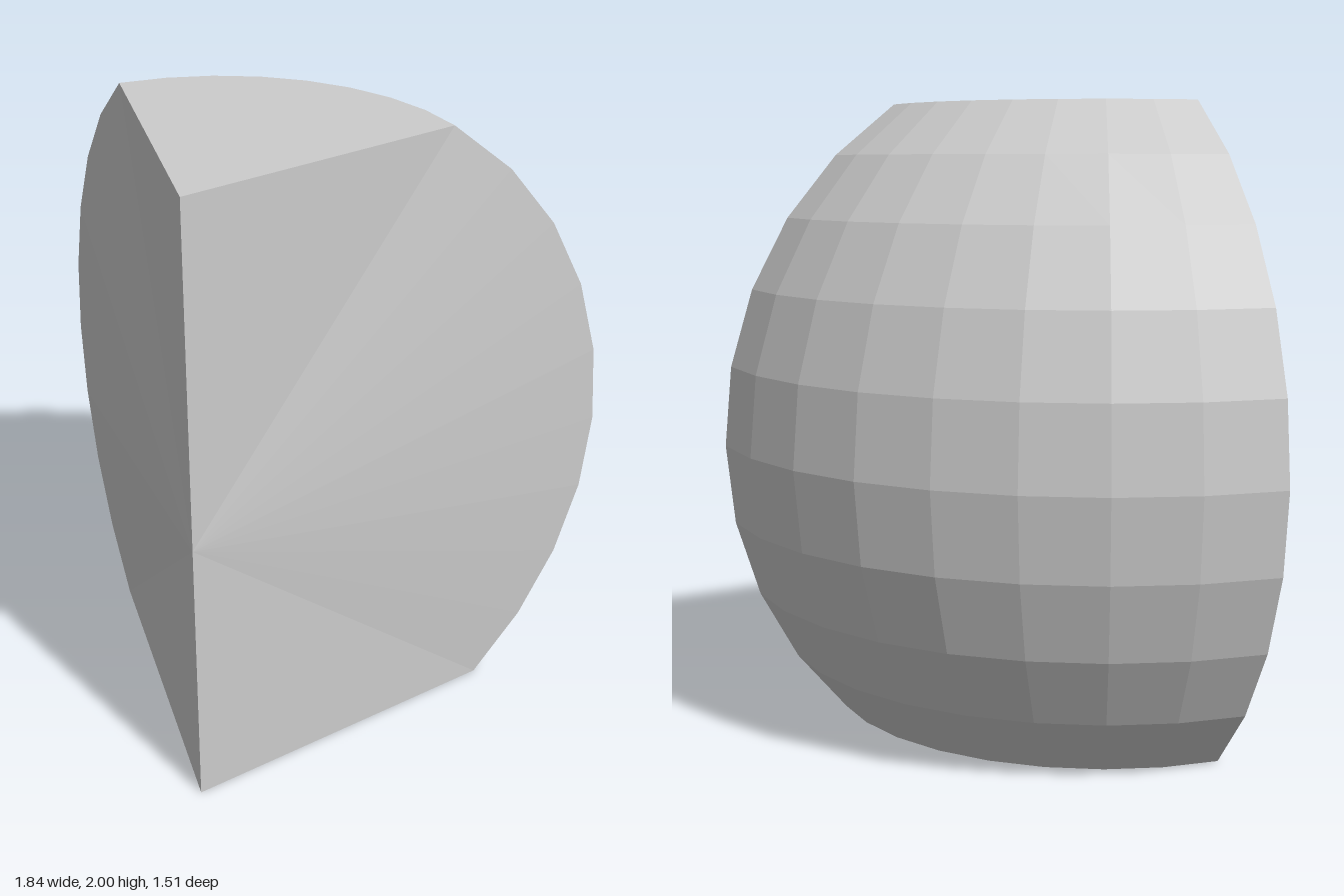
import * as THREE from 'three';

const R = 1.3;               // sphere radius
const CY = 0.919;            // sphere centre height
const CZ = 0.543;            // sphere centre depth
const FRONT = 0.757;         // depth of the sharp front edge
const STEP = Math.PI / 16;   // facet angle
const LOW = -4, HIGH = 5;    // latitude rows of the bottom and top cuts
const HALF = 4;              // facets each side of the middle

// Point on the curved back: lat in rows from the equator, lon in facets from -z towards +x
function backPoint(lat, lon) {
  const a = lat * STEP, b = lon * STEP;
  return new THREE.Vector3(
    R * Math.cos(a) * Math.sin(b),
    CY + R * Math.sin(a),
    CZ - R * Math.cos(a) * Math.cos(b)
  );
}

// Triangle fan from an apex through counter-clockwise points
function fan(apex, points) {
  const corners = [];
  for (let i = 0; i < points.length - 1; i++) corners.push(apex, points[i], points[i + 1]);
  const geometry = new THREE.BufferGeometry().setFromPoints(corners);
  geometry.computeVertexNormals();
  return geometry;
}

export function createModel() {
  const group = new THREE.Group();
  group.name = 'sphereWedge';
  const material = new THREE.MeshStandardMaterial({ color: 0xcccccc, flatShading: true });
  const add = (name, geometry) => {
    const mesh = new THREE.Mesh(geometry, material);
    mesh.name = name;
    group.add(mesh);
    return mesh;
  };

  // Faceted quarter of a sphere, cut off above and below
  const shell = add('curvedBack', new THREE.SphereGeometry(
    R, 2 * HALF, HIGH - LOW,
    Math.PI * 1.5 - HALF * STEP, 2 * HALF * STEP,
    Math.PI / 2 - HIGH * STEP, (HIGH - LOW) * STEP
  ));
  shell.position.set(0, CY, CZ);

  const frontTop = new THREE.Vector3(0, backPoint(HIGH, 0).y, FRONT);
  const frontBottom = new THREE.Vector3(0, backPoint(LOW, 0).y, FRONT);
  const frontMiddle = new THREE.Vector3(0, CY, FRONT);

  // Flat caps
  const arc = (lat) => Array.from({ length: 2 * HALF + 1 }, (_, i) => backPoint(lat, HALF - i));
  add('topCap', fan(frontTop, arc(HIGH)));
  add('bottomCap', fan(frontBottom, arc(LOW).reverse()));

  // Side faces fanning out from the middle of the front edge
  for (const [name, side] of [['leftSide', 1], ['rightSide', -1]]) {
    const rim = [frontBottom];
    for (let lat = LOW; lat <= HIGH; lat++) rim.push(backPoint(lat, side * HALF));
    rim.push(frontTop);
    add(name, fan(frontMiddle, side > 0 ? rim : rim.reverse()));
  }
  return group;
}
